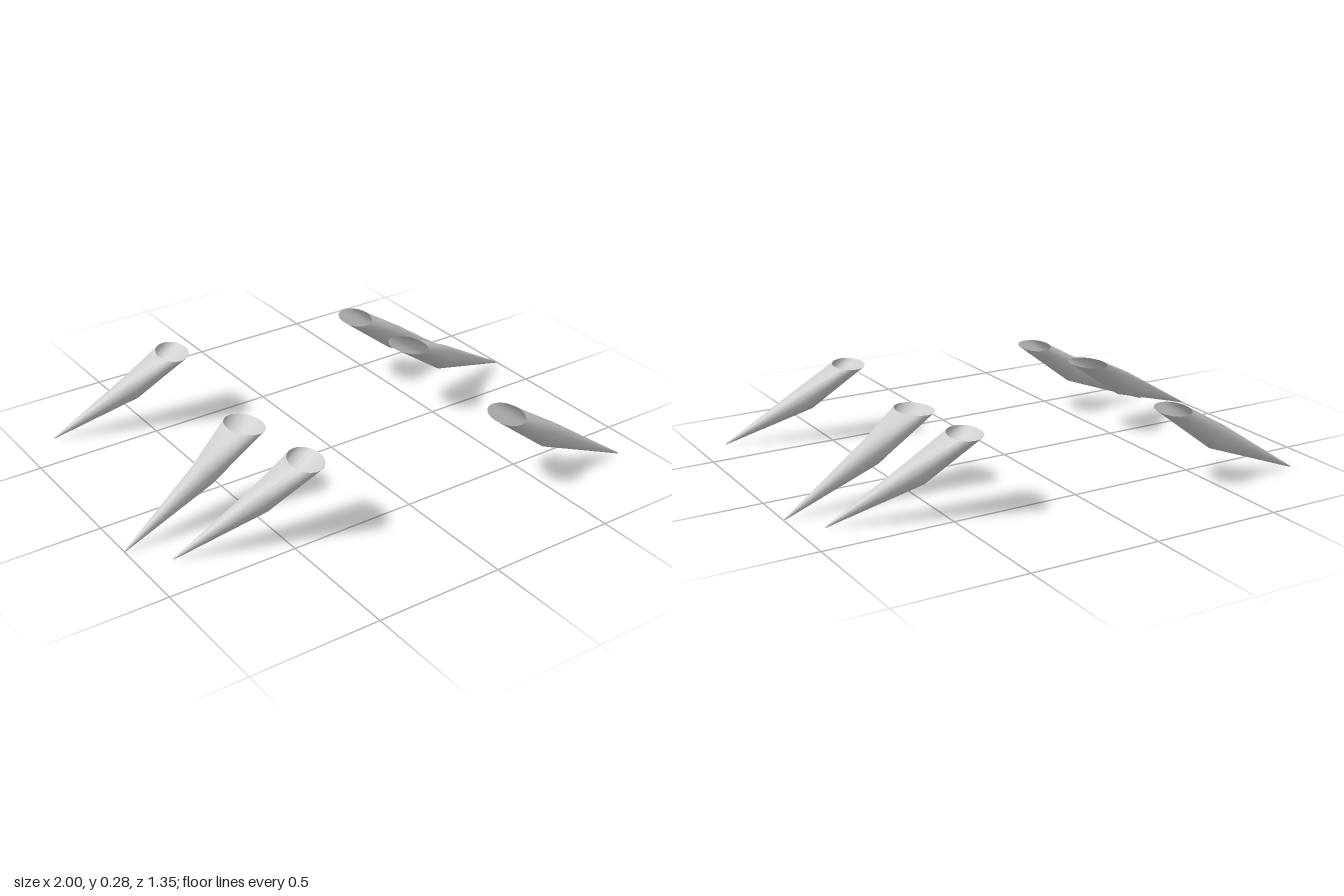
import * as THREE from 'three';

const SIDES = 24;
const TOP_Y = 0.285;

// top centre x, z and tip x, z of each leg
const LEGS = [
  ['rightBackLeg', -0.37, -0.575, -0.86, -0.675],
  ['rightMiddleLeg', -0.44, 0.083, -1.0, 0.182],
  ['rightFrontLeg', -0.395, 0.415, -0.883, 0.318],
  ['leftBackLeg', 0.41, -0.42, 0.905, -0.323],
  ['leftMiddleLeg', 0.435, -0.09, 0.997, -0.187],
  ['leftFrontLeg', 0.39, 0.565, 0.885, 0.668],
];

// Hollow, bent spike: a level open rim, a tilted knee ring and a fine tip
function legGeometry(topX, topZ, tipX, tipZ) {
  const top = new THREE.Vector3(topX, TOP_Y, topZ);
  const tip = new THREE.Vector3(tipX, 0.003, tipZ);
  const out = new THREE.Vector3(tipX - topX, 0, tipZ - topZ).normalize();
  const side = new THREE.Vector3(-out.z, 0, out.x);
  const knee = top.clone().lerp(tip, 0.36).setY(0.16);

  // each section: centre, half-width outward, half-height, half-width sideways
  const sections = [
    [top, 0.064, 0, 0.092],
    [knee, 0.028, 0.042, 0.047],
    [tip, 0.001, 0.002, 0.002],
  ];
  const positions = [];
  const index = [];
  sections.forEach(([centre, a, h, b], s) => {
    for (let i = 0; i < SIDES; i++) {
      const t = (i / SIDES) * Math.PI * 2;
      const p = centre.clone()
        .addScaledVector(out, a * Math.cos(t))
        .addScaledVector(side, b * Math.sin(t));
      p.y += h * Math.cos(t);
      positions.push(p.x, p.y, p.z);
      if (s < sections.length - 1) {
        const j = (i + 1) % SIDES;
        const p0 = s * SIDES + i, p1 = s * SIDES + j;
        index.push(p0, p1, p0 + SIDES, p1, p1 + SIDES, p0 + SIDES);
      }
    }
  });

  const geometry = new THREE.BufferGeometry();
  geometry.setAttribute('position', new THREE.Float32BufferAttribute(positions, 3));
  geometry.setIndex(index);
  geometry.computeVertexNormals();
  return geometry;
}

export function createModel() {
  const group = new THREE.Group();
  group.name = 'legs';
  const material = new THREE.MeshStandardMaterial({ color: 0xcccccc, side: THREE.DoubleSide });
  for (const [name, ...ends] of LEGS) {
    const leg = new THREE.Mesh(legGeometry(...ends), material);
    leg.name = name;
    group.add(leg);
  }
  return group;
}
